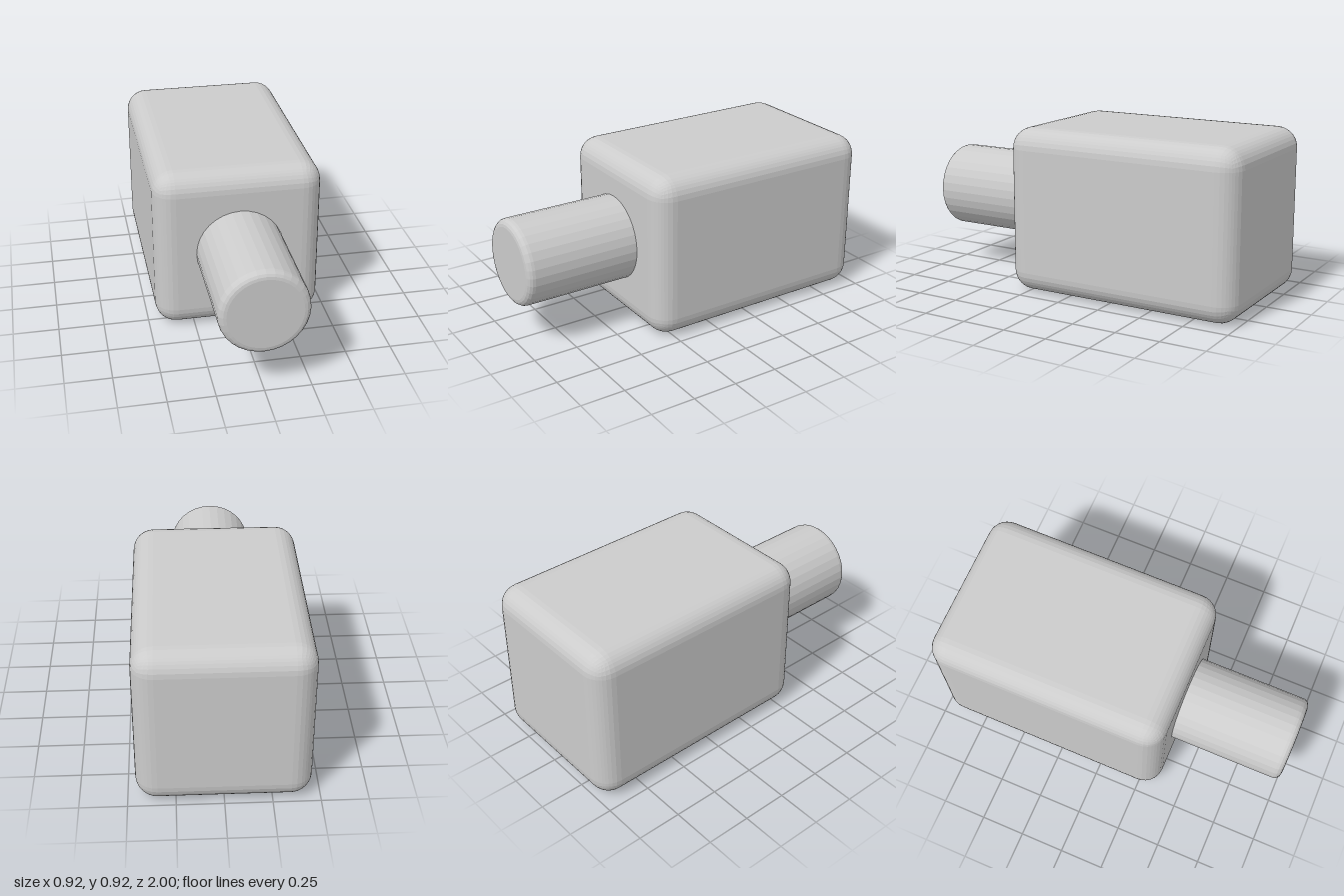
import * as THREE from 'three';
import { RoundedBoxGeometry } from 'three/addons/geometries/RoundedBoxGeometry.js';

export function createModel() {
  const group = new THREE.Group();
  const material = new THREE.MeshStandardMaterial({ color: 0xcccccc, flatShading: true });
  const size = 0.917, front = 0.36, back = -1;

  // Rounded rectangular housing
  const body = new THREE.Mesh(new RoundedBoxGeometry(size, size, front - back, 4, 0.115), material);
  body.name = 'body';
  body.position.set(0, size / 2, (front + back) / 2);
  group.add(body);

  // Round barrel with a filleted front rim, its base sunk into the housing
  const radius = 0.238, fillet = 0.04, start = 0.25, end = 1;
  const profile = [new THREE.Vector2(0, start), new THREE.Vector2(radius, start)];
  for (let i = 0; i <= 4; i++) {
    const a = (i / 4) * Math.PI / 2;
    profile.push(new THREE.Vector2(
      radius - fillet + fillet * Math.cos(a),
      end - fillet + fillet * Math.sin(a)));
  }
  profile.push(new THREE.Vector2(0, end));
  const barrel = new THREE.Mesh(new THREE.LatheGeometry(profile, 32).rotateX(Math.PI / 2), material);
  barrel.name = 'barrel';
  barrel.position.y = 0.461;
  group.add(barrel);

  return group;
}
